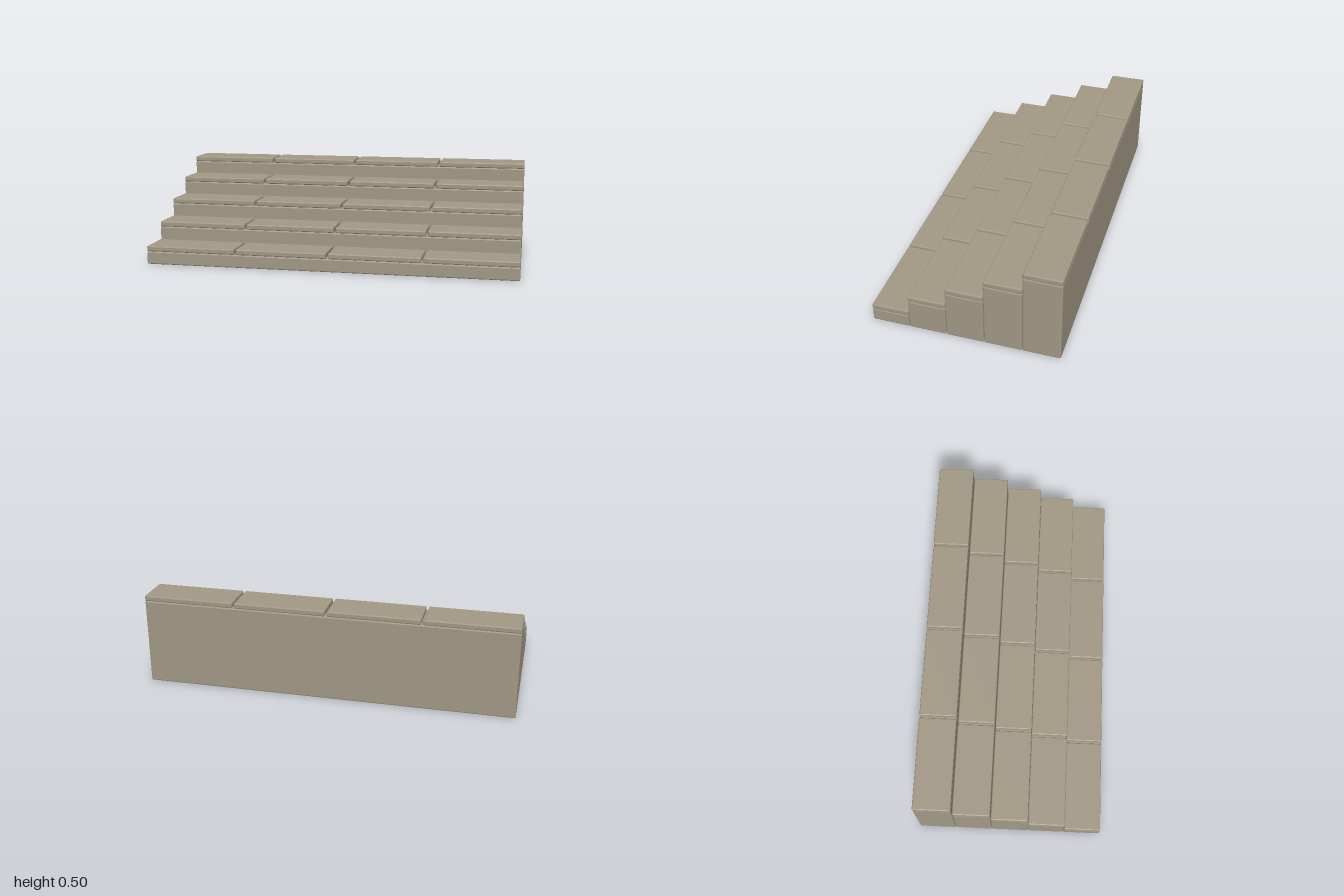
import * as THREE from 'three';
import { RoundedBoxGeometry } from 'three/addons/geometries/RoundedBoxGeometry.js';

const STEPS = 5, SLABS = 4;
const RISE = 0.1, DEPTH = 0.2, LENGTH = 2;
const SLAB_HEIGHT = 0.03, GAP = 0.013, BEVEL = 0.006;

// Box with narrow, flat-shaded bevels
function bevelledBox(w, h, d) {
  const g = new RoundedBoxGeometry(w, h, d, 1, BEVEL);
  g.computeVertexNormals();
  return g;
}

export function createModel() {
  const stairs = new THREE.Group();
  stairs.name = 'stairs';
  const stone = new THREE.MeshStandardMaterial({ color: 0xa39986 });
  stone.name = 'stone';

  const blockDepth = DEPTH - 0.002;
  const slabWidth = (LENGTH - GAP * (SLABS - 1)) / SLABS;
  const slabGeometry = bevelledBox(slabWidth, SLAB_HEIGHT, blockDepth);

  for (let i = 0; i < STEPS; i++) {
    const step = new THREE.Group();
    step.name = `step${i + 1}`;
    step.position.z = (STEPS * DEPTH) / 2 - DEPTH * (i + 0.5);

    // Solid block reaching down to the ground
    const height = RISE * (i + 1) - SLAB_HEIGHT;
    const block = new THREE.Mesh(bevelledBox(LENGTH, height, blockDepth), stone);
    block.name = 'stepBlock';
    block.position.y = height / 2;
    step.add(block);

    // Row of tread slabs on top
    for (let j = 0; j < SLABS; j++) {
      const slab = new THREE.Mesh(slabGeometry, stone);
      slab.name = `treadSlab${j + 1}`;
      slab.position.set((j - (SLABS - 1) / 2) * (slabWidth + GAP), height + SLAB_HEIGHT / 2, 0);
      step.add(slab);
    }
    stairs.add(step);
  }
  return stairs;
}
